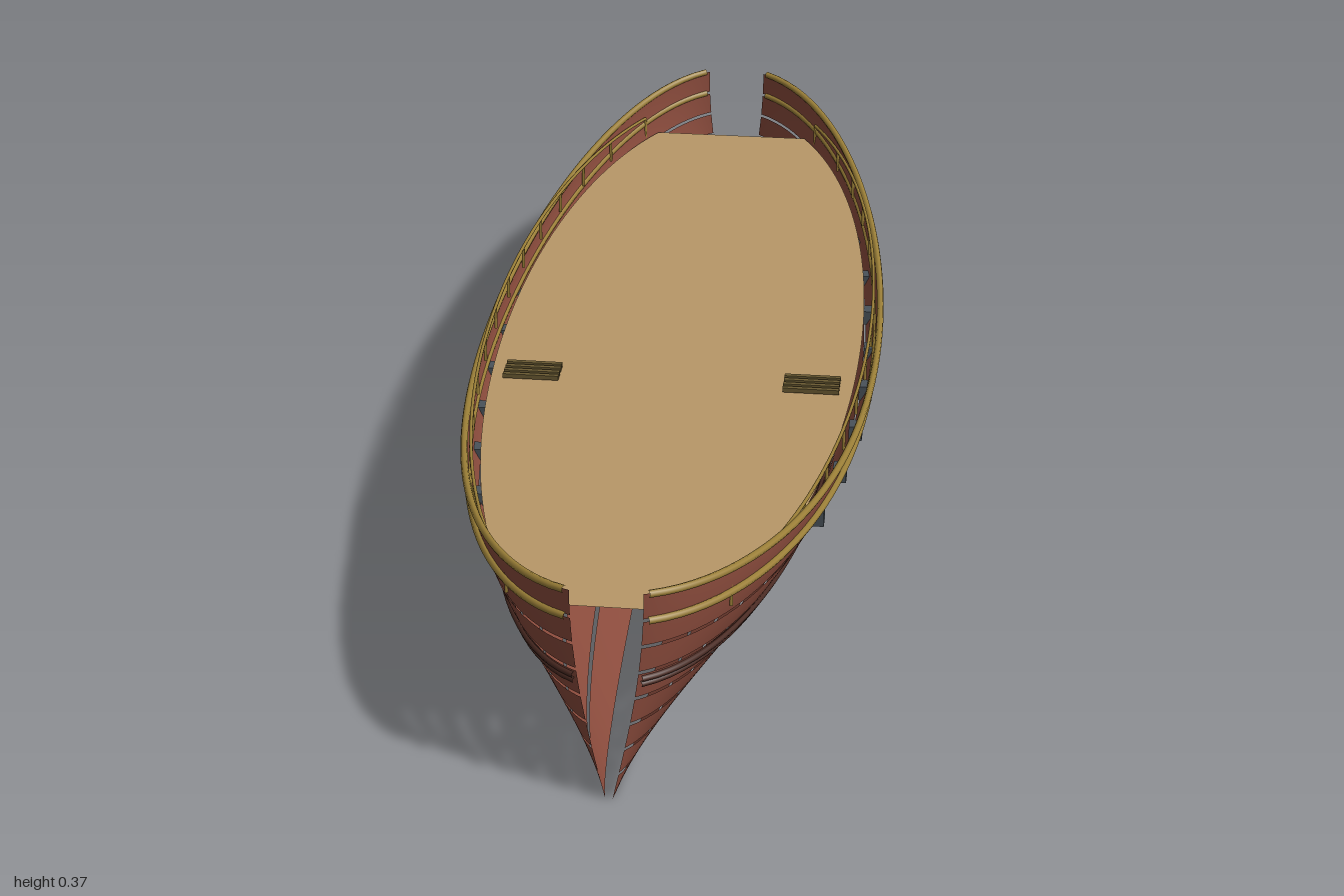
import * as THREE from 'three';
import { ParametricGeometry } from 'three/addons/geometries/ParametricGeometry.js';

const paint = (color, side = THREE.FrontSide) => new THREE.MeshStandardMaterial({ color, side });
const hullMat = paint(0x8a4b3c, THREE.DoubleSide);
const deckMat = paint(0xb89868, THREE.DoubleSide);
const goldMat = paint(0x9c8038);
const waleMat = paint(0x4a2a22);
const portMat = paint(0x4a525a);
const grateMat = paint(0x6a5a32);

// Hull form: plan taper, sheer of the top edge, half breadth at height fraction v
const STRAKES = 8, GAP = 0.007, DECK_Y = 0.27, RAIL_Y = 0.31;
const taper = z => Math.sqrt(1 - (0.987 * z) ** 2);
const sheer = z => 0.27 + 0.092 * z * z;
const breadth = (v, z) => (0.035 + 0.303 * Math.sin(v * Math.PI / 2)) * taper(z);
// Stations are spaced closer together toward the ends
const station = (t, end = 1) => end * Math.sin((t - 0.5) * Math.PI);

export function createModel() {
  const group = new THREE.Group();
  const add = (name, geometry, material, parent = group) => {
    const mesh = new THREE.Mesh(geometry, material);
    mesh.name = name;
    parent.add(mesh);
    return mesh;
  };

  // Tube running fore and aft through points given by x(z), y(z)
  const longTube = (x, y, end, radius, sides = 8) => {
    const points = [];
    for (let i = 0; i <= 40; i++) {
      const z = station(i / 40, end);
      points.push(new THREE.Vector3(x(z), y(z), z));
    }
    return new THREE.TubeGeometry(new THREE.CatmullRomCurve3(points), 80, radius, sides);
  };

  for (const s of [1, -1]) {
    const half = new THREE.Group();
    half.name = s > 0 ? 'leftSide' : 'rightSide';
    group.add(half);

    // Hull planks with narrow open seams
    for (let k = 0; k < STRAKES; k++) {
      const v0 = k / STRAKES + (k ? GAP : 0);
      const v1 = (k + 1) / STRAKES - (k < STRAKES - 1 ? GAP : 0);
      add('hullStrake', new ParametricGeometry((a, b, target) => {
        const z = station(a), v = v0 + (v1 - v0) * b;
        target.set(s * breadth(v, z), v * sheer(z), z);
      }, 60, 4), hullMat, half);
    }

    // Gilded mouldings and the dark wale
    for (const v of [1, 0.875])
      add('goldMoulding', longTube(z => s * (breadth(v, z) + 0.003),
        z => v * sheer(z), 0.998, 0.006), goldMat, half);
    for (const v of [0.57, 0.595])
      add('wale', longTube(z => s * (breadth(v, z) + 0.002),
        z => v * sheer(z), 0.998, 0.005), waleMat, half);

    // Port lids
    for (let i = 0; i < 8; i++) {
      const z = (i - 3.5) * 0.145, y = 0.222;
      const lid = add('portLid', new THREE.BoxGeometry(0.022, 0.026, 0.026), portMat, half);
      lid.position.set(s * breadth(y / sheer(z), z), y, z);
    }

    // Deck railing
    const railX = z => s * 0.328 * taper(z);
    add('handrail', longTube(railX, () => RAIL_Y, 0.868, 0.003, 6), goldMat, half);
    for (let i = -7; i <= 7; i++) {
      const z = i * 0.124;
      const post = add('railPost', new THREE.CylinderGeometry(0.003, 0.003, RAIL_Y - DECK_Y, 6), goldMat, half);
      post.position.set(railX(z), (RAIL_Y + DECK_Y) / 2, z);
    }

    // Grating bars on the deck
    for (let i = 0; i < 4; i++) {
      const bar = add('gratingBar', new THREE.BoxGeometry(0.095, 0.008, 0.008), grateMat, half);
      bar.position.set(s * 0.238, DECK_Y + 0.006, 0.14 + i * 0.015);
    }
  }

  // Flat deck sheet
  add('deck', new ParametricGeometry((a, b, target) => {
    const z = (a - 0.5) * 1.79;
    target.set((b - 0.5) * 0.624 * taper(z), DECK_Y, z);
  }, 60, 1), deckMat);

  return group;
}
